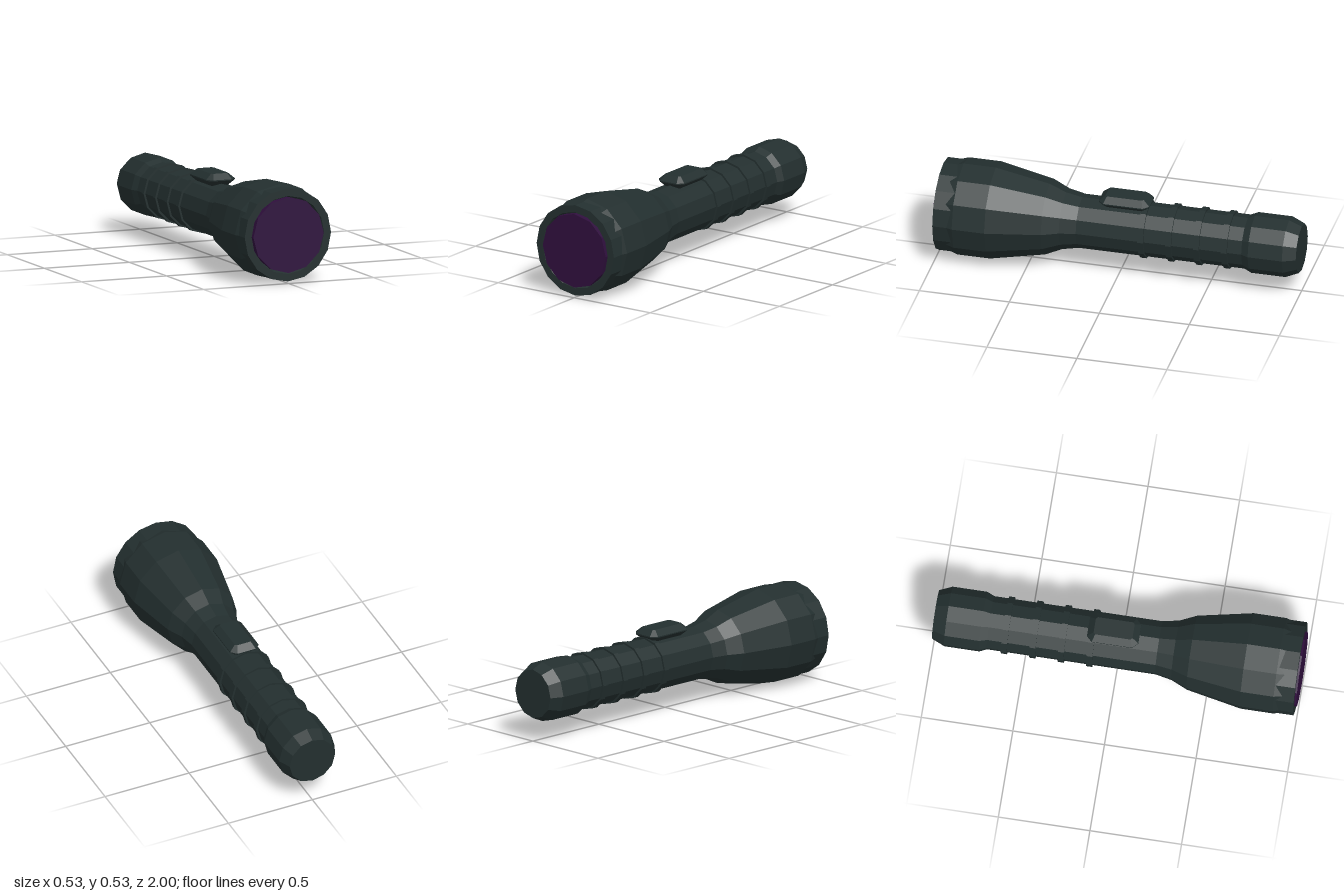
import * as THREE from 'three';

const AXIS_Y = 0.264;

export function createModel() {
  const group = new THREE.Group();
  const casing = new THREE.MeshStandardMaterial({ color: 0x232f2f });
  casing.name = 'dark casing';
  const glass = new THREE.MeshStandardMaterial({ color: 0x2f0f3d });
  glass.name = 'purple glass';

  // Adds a mesh with faceted normals
  function add(name, geometry, material, y = AXIS_Y) {
    const faceted = geometry.index ? geometry.toNonIndexed() : geometry;
    faceted.computeVertexNormals();
    const mesh = new THREE.Mesh(faceted, material);
    mesh.name = name;
    mesh.position.y = y;
    group.add(mesh);
  }

  // Turns a profile of [z, radius] pairs, back to front, about the z axis
  function turned(profile, sides = 12) {
    const points = profile.map(([z, r]) => new THREE.Vector2(r, z));
    return new THREE.LatheGeometry(points, sides).rotateX(Math.PI / 2);
  }

  // Tail cap, handle and flared head
  add('body', turned([
    [-1, 0], [-1, 0.135], [-0.93, 0.165], [-0.74, 0.165], [-0.7, 0.147],
    [0.22, 0.147], [0.31, 0.165], [0.4, 0.205], [0.7, 0.264],
    [0.88, 0.264], [0.93, 0.248], [0.96, 0.248], [0.96, 0],
  ]), casing);

  // Front rim around the lens
  add('bezel', turned([
    [0.88, 0.2], [0.88, 0.254], [0.99, 0.254], [0.99, 0.213], [0.975, 0.207], [0.95, 0.2],
  ], 16), casing);

  add('lens', turned([[0.95, 0.207], [1, 0.207], [1, 0]]), glass);

  // Grip rings along the handle
  for (let i = 0; i < 4; i++) {
    const z = -0.14 - i * 0.155;
    add('gripRing' + (i + 1), turned([
      [z - 0.016, 0.14], [z - 0.016, 0.158], [z + 0.016, 0.158], [z + 0.016, 0.14],
    ]), casing);
  }

  // Sliding switch: a bevelled plate with clipped corners
  const w = 0.084, l = 0.14, c = 0.03;
  const outline = new THREE.Shape([
    [w, -l + c], [w, l - c], [w - c, l], [-w + c, l],
    [-w, l - c], [-w, -l + c], [-w + c, -l], [w - c, -l],
  ].map(([x, y]) => new THREE.Vector2(x, y)));
  const plate = new THREE.ExtrudeGeometry(outline, {
    depth: 0.006, bevelThickness: 0.03, bevelSize: 0.034, bevelOffset: -0.034, bevelSegments: 1,
  });
  plate.rotateX(-Math.PI / 2).translate(0, 0, -0.026);
  add('switch', plate, casing, 0.429);

  return group;
}
